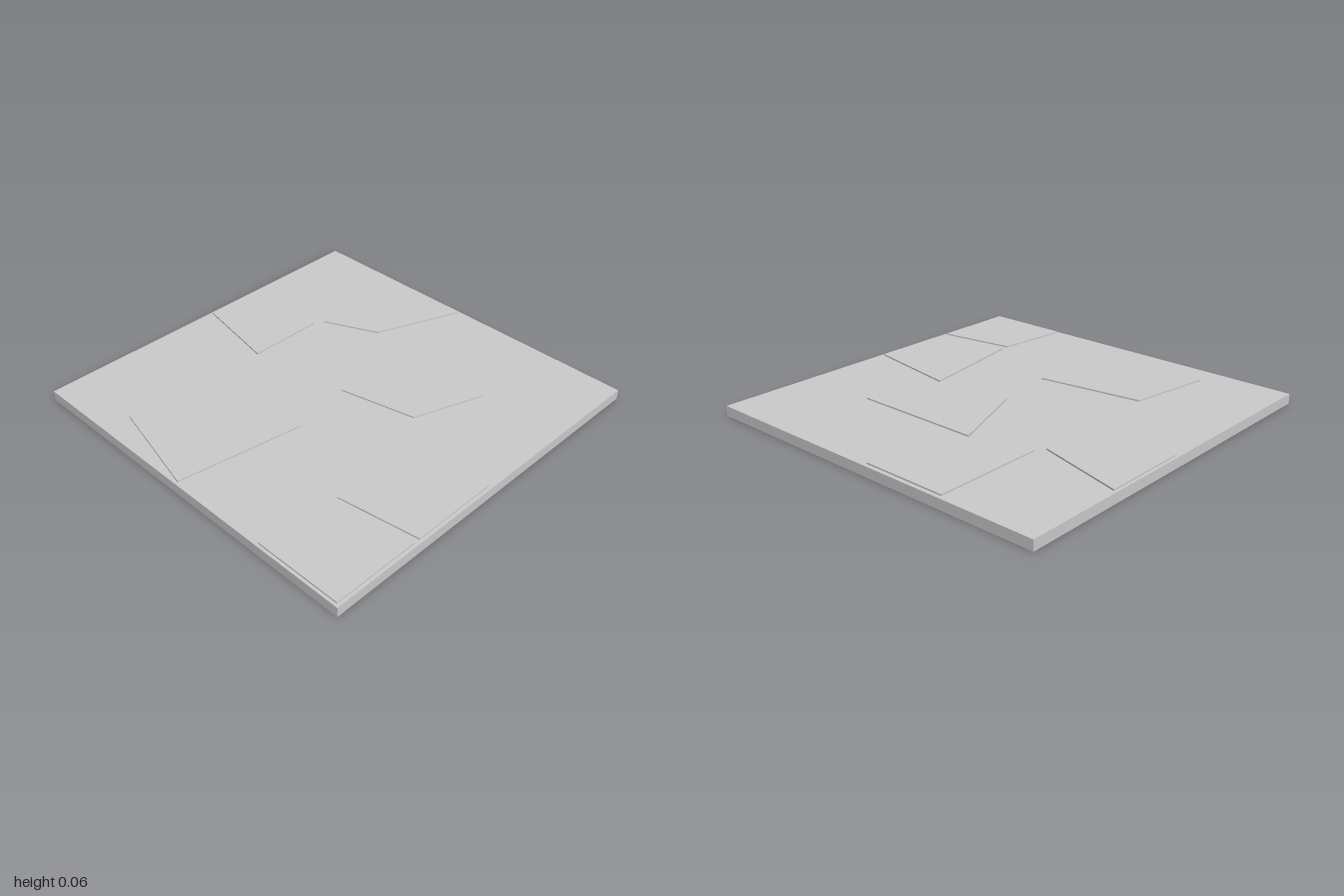
import * as THREE from 'three';

const SLAB_TOP = 0.053;
const STONE_TOP = 0.061;

// Outline of each paving stone as [x, z] corners
const STONES = [
  [[0.02, -0.985], [0.475, -0.985], [0.347, -0.515], [-0.067, -0.515]],
  [[-0.857, -0.56], [-0.403, -0.49], [-0.323, 0.08], [-0.985, -0.025]],
  [[0.395, -0.487], [0.98, -0.487], [0.98, -0.027], [0.525, -0.205]],
  [[0.02, 0.02], [0.477, -0.157], [0.477, 0.55], [0.108, 0.42]],
  [[-0.985, 0.515], [-0.585, 0.557], [-0.52, 0.983], [-0.985, 0.983]],
  [[-0.553, 0.557], [0.065, 0.45], [-0.023, 0.983], [-0.49, 0.983]],
];

export function createModel() {
  const group = new THREE.Group();
  const material = new THREE.MeshStandardMaterial({ color: 0xcccccc, flatShading: true });

  // Square ground slab
  const slab = new THREE.Mesh(new THREE.BoxGeometry(2, SLAB_TOP, 2), material);
  slab.name = 'groundSlab';
  slab.position.y = SLAB_TOP / 2;
  group.add(slab);

  // Thin flat stones, set slightly into the slab
  const sink = 0.01;
  STONES.forEach((corners, i) => {
    const shape = new THREE.Shape(corners.map(([x, z]) => new THREE.Vector2(x, -z)));
    const geometry = new THREE.ExtrudeGeometry(shape, {
      depth: STONE_TOP - SLAB_TOP + sink,
      bevelEnabled: false,
    });
    geometry.rotateX(-Math.PI / 2);
    const stone = new THREE.Mesh(geometry, material);
    stone.name = `pavingStone${i + 1}`;
    stone.position.y = SLAB_TOP - sink;
    group.add(stone);
  });

  return group;
}
